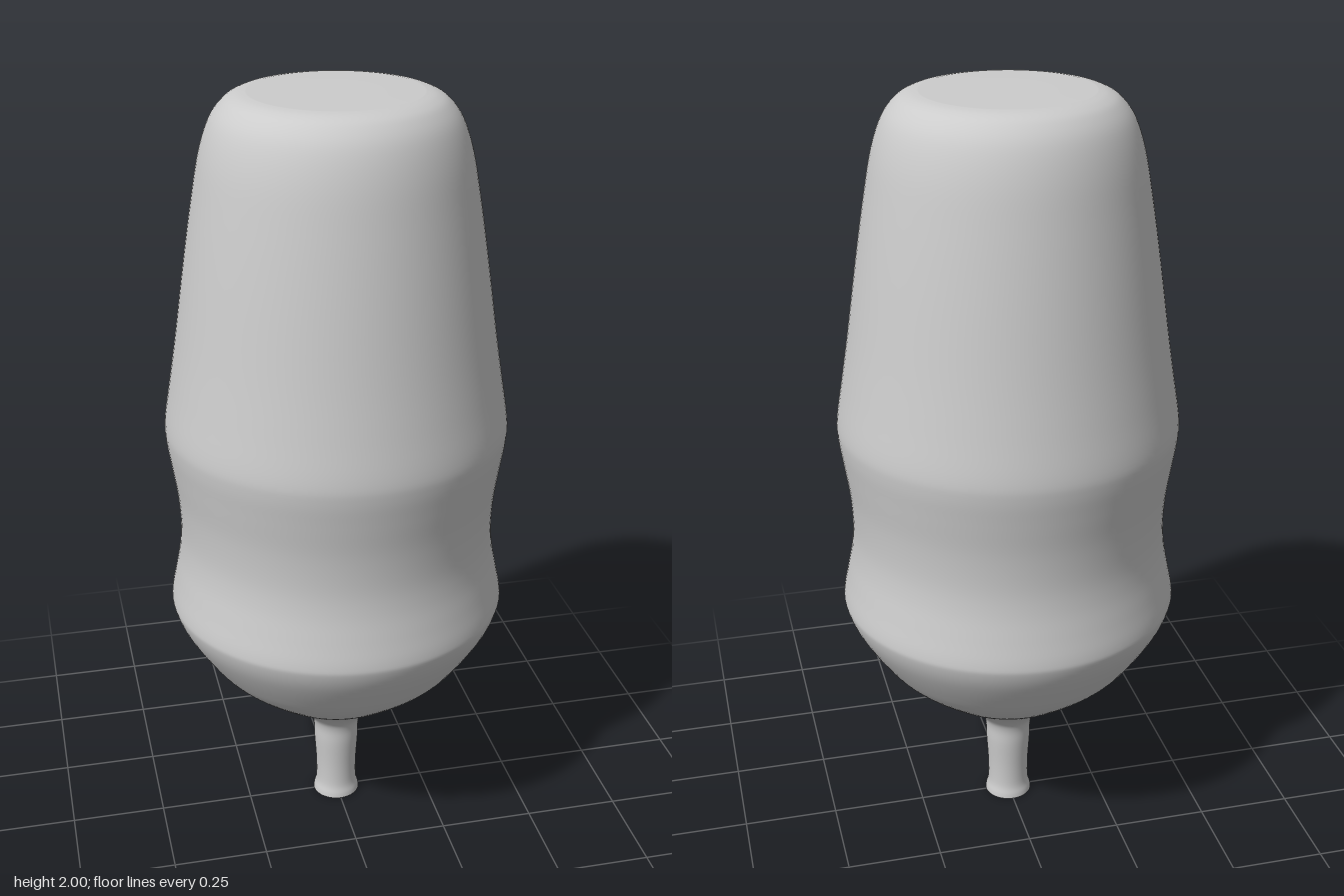
import * as THREE from 'three';

export function createModel() {
  const group = new THREE.Group();
  const material = new THREE.MeshStandardMaterial({ color: 0xcccccc, side: THREE.DoubleSide });
  const segments = 96;

  // Outer profile [radius, height]: stem, flared bowl, waist, tapering upper body, rounded shoulder
  const profile = [
    [0.064, 0], [0.062, 0.012], [0.056, 0.04], [0.056, 0.1], [0.061, 0.18], [0.063, 0.23],
    [0.076, 0.26], [0.115, 0.3], [0.175, 0.345], [0.25, 0.4], [0.325, 0.465], [0.375, 0.53],
    [0.418, 0.6], [0.438, 0.65], [0.439, 0.68], [0.427, 0.74], [0.414, 0.81], [0.409, 0.88],
    [0.414, 0.97], [0.427, 1.06], [0.437, 1.13], [0.437, 1.18], [0.421, 1.28], [0.402, 1.4],
    [0.373, 1.6], [0.349, 1.75], [0.328, 1.86], [0.302, 1.935], [0.27, 1.977], [0.24, 1.994], [0.21, 2],
  ].map(([r, y]) => new THREE.Vector2(r, y));
  const outline = new THREE.SplineCurve(profile).getPoints(150);

  // Flat top blends smoothly into the shoulder
  outline.push(new THREE.Vector2(0.1, 2), new THREE.Vector2(0, 2));
  const body = new THREE.Mesh(new THREE.LatheGeometry(outline, segments), material);
  body.name = 'body';
  group.add(body);

  // Sharp-edged disc closing the foot of the stem
  const stemBase = new THREE.Mesh(new THREE.CircleGeometry(0.064, segments), material);
  stemBase.name = 'stemBase';
  stemBase.rotation.x = Math.PI / 2;
  group.add(stemBase);

  return group;
}
